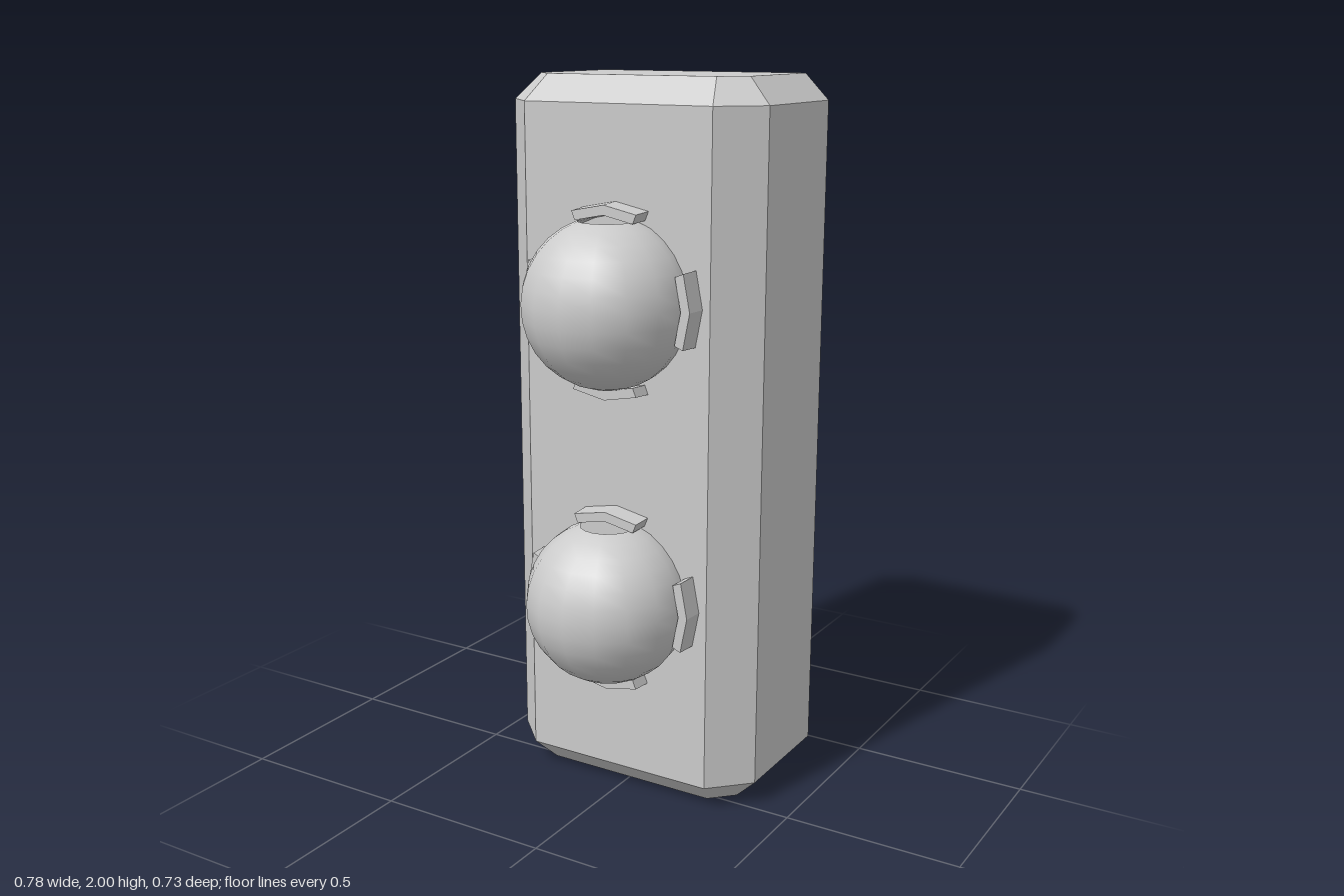
import * as THREE from 'three';

const material = (flat) => new THREE.MeshStandardMaterial({
  color: 0xcccccc, flatShading: flat, side: THREE.DoubleSide,
});

function add(group, name, geometry, flat = true) {
  const mesh = new THREE.Mesh(geometry, material(flat));
  mesh.name = name;
  group.add(mesh);
  return mesh;
}

// Open-backed shell with bevelled edges, lofted from horizontal sections
function housingGeometry() {
  const full = [[0.39, -0.365], [0.39, -0.015], [0.285, 0.09]];
  const inset = [[0.32, -0.365], [0.32, -0.043], [0.257, 0.02]];
  const levels = [[0, inset], [0.07, full], [1.93, full], [2, inset]];
  const sections = levels.map(([y, half]) => [
    ...half.map(([x, z]) => [x, y, z]),
    ...half.map(([x, z]) => [-x, y, z]).reverse(),
  ]);
  const positions = [];
  const tri = (...corners) => corners.forEach((p) => positions.push(...p));

  for (let s = 0; s < 3; s++) {
    const lo = sections[s], hi = sections[s + 1];
    for (let i = 0; i < 5; i++) {
      tri(lo[i + 1], lo[i], hi[i]);
      tri(lo[i + 1], hi[i], hi[i + 1]);
    }
  }
  // Top and bottom caps
  for (let i = 1; i < 5; i++) {
    tri(sections[3][0], sections[3][i + 1], sections[3][i]);
    tri(sections[0][0], sections[0][i], sections[0][i + 1]);
  }
  const geometry = new THREE.BufferGeometry();
  geometry.setAttribute('position', new THREE.Float32BufferAttribute(positions, 3));
  geometry.computeVertexNormals();
  return geometry;
}

// Bent two-segment clip that narrows slightly toward the front
function clipGeometry() {
  const outer = 0.264, inner = 0.237, depth = 0.08;
  const angles = [-1, 0, 1].map((k) => Math.PI / 2 + k * Math.PI / 8);
  const at = (r) => (a) => new THREE.Vector2(r * Math.cos(a), r * Math.sin(a));
  const shape = new THREE.Shape([
    ...angles.map(at(outer)), ...angles.map(at(inner)).reverse(),
  ]);
  const geometry = new THREE.ExtrudeGeometry(shape, { depth, bevelEnabled: false });
  const p = geometry.attributes.position;
  for (let i = 0; i < p.count; i++) {
    const k = 1 - 0.02 * p.getZ(i) / depth;
    p.setXY(i, p.getX(i) * k, p.getY(i) * k);
  }
  geometry.computeVertexNormals();
  return geometry;
}

function createLamp(y) {
  const lamp = new THREE.Group();
  lamp.name = 'lamp';
  lamp.position.y = y;

  // Globe with a small opening at the front of its top
  const radius = 0.23, opening = 0.342;
  const globe = add(lamp, 'globe', new THREE.SphereGeometry(
    radius, 16, 14, 0, Math.PI * 2, opening, Math.PI - opening), false);
  const cap = add(lamp, 'globeCap', new THREE.SphereGeometry(
    radius, 8, 1, Math.PI, Math.PI, 0, opening), false);
  globe.position.z = cap.position.z = 0.133;

  // Four clips around the globe
  const clip = clipGeometry();
  for (let i = 0; i < 4; i++) {
    const mesh = add(lamp, 'retainingClip', clip);
    mesh.position.z = 0.07;
    mesh.rotation.z = i * Math.PI / 2;
  }
  return lamp;
}

export function createModel() {
  const model = new THREE.Group();
  model.name = 'twinLampHousing';
  add(model, 'housing', housingGeometry());
  for (const y of [0.588, 1.418]) model.add(createLamp(y));
  return model;
}
